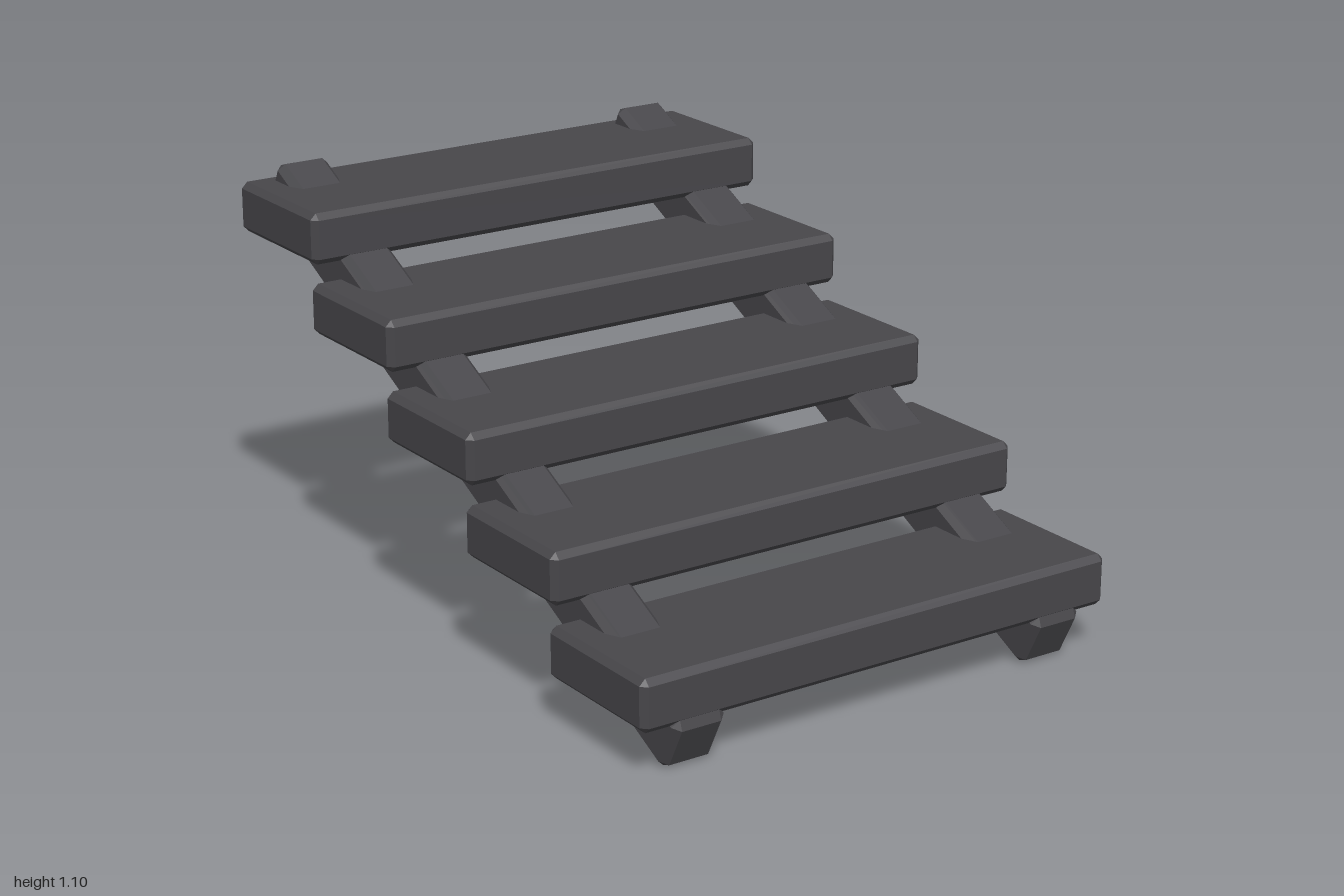
import * as THREE from 'three';
import { ConvexGeometry } from 'three/addons/geometries/ConvexGeometry.js';

// Box with a flat chamfer of size c on every edge
function chamferBox(w, h, d, c) {
  const [a, b, e] = [w / 2, h / 2, d / 2];
  const points = [];
  for (const x of [-1, 1]) for (const y of [-1, 1]) for (const z of [-1, 1]) {
    points.push(
      new THREE.Vector3(x * a, y * (b - c), z * (e - c)),
      new THREE.Vector3(x * (a - c), y * b, z * (e - c)),
      new THREE.Vector3(x * (a - c), y * (b - c), z * e)
    );
  }
  return new ConvexGeometry(points);
}

export function createModel() {
  const group = new THREE.Group();
  group.name = 'staircase';
  const darkGrey = new THREE.MeshStandardMaterial({ color: 0x47464a });
  darkGrey.name = 'dark grey';

  // Two sloping beams carrying the steps
  const beamGeometry = chamferBox(0.155, 0.162, 2.176, 0.02);
  for (const side of [-1, 1]) {
    const beam = new THREE.Mesh(beamGeometry, darkGrey);
    beam.name = side > 0 ? 'leftBeam' : 'rightBeam';
    beam.position.set(side * 0.563, 0.55, 0);
    beam.rotation.x = Math.atan(0.5);
    group.add(beam);
  }

  // Five level treads, rising towards the back
  const treadGeometry = chamferBox(1.456, 0.142, 0.424, 0.017);
  for (let i = 0; i < 5; i++) {
    const tread = new THREE.Mesh(treadGeometry, darkGrey);
    tread.name = `tread${i + 1}`;
    tread.position.set(0, 0.2 + i * 0.195, 0.781 - i * 0.3905);
    group.add(tread);
  }
  return group;
}
